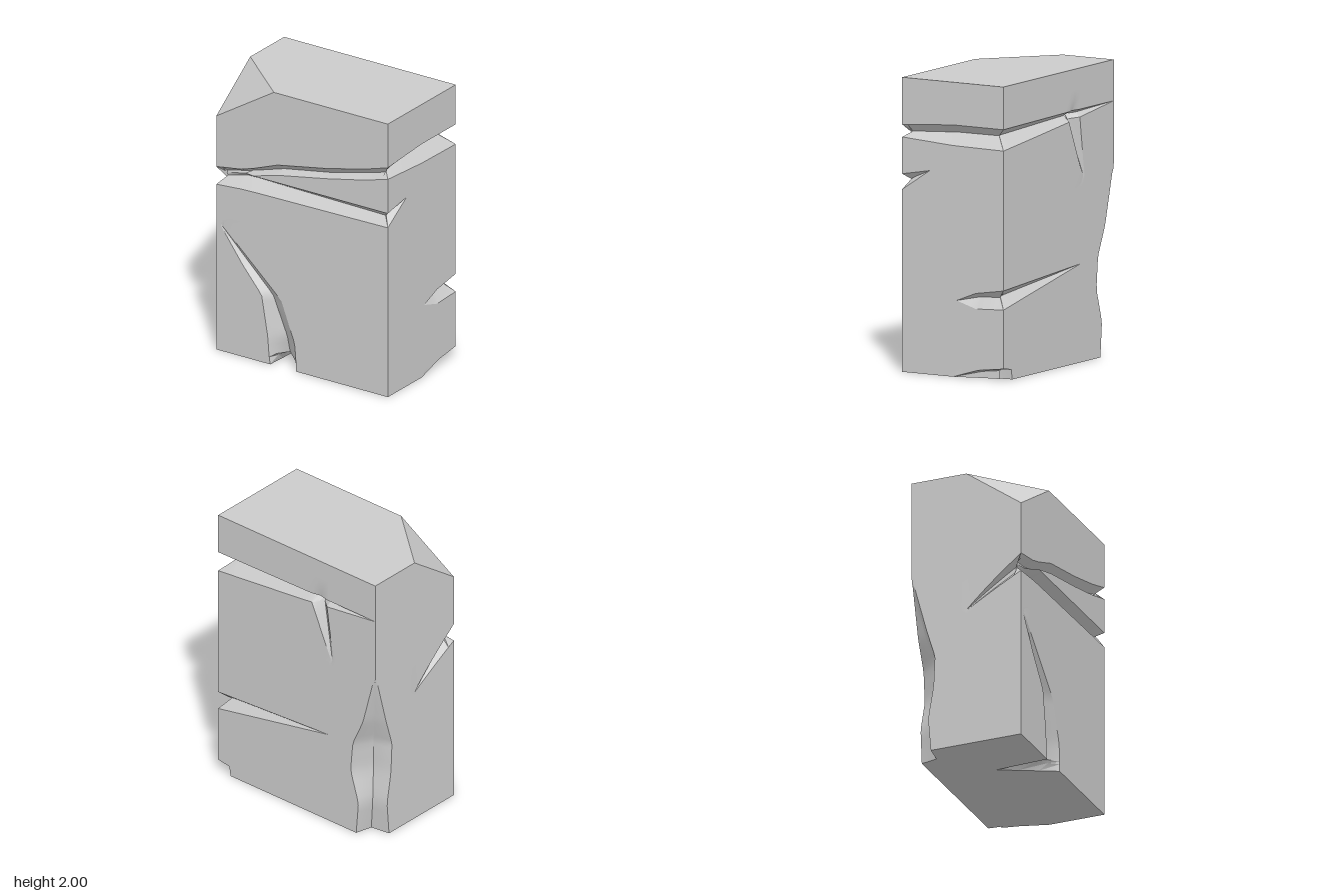
import * as THREE from 'three';
import { toCreasedNormals } from 'three/addons/utils/BufferGeometryUtils.js';

// Half width and half depth. s runs round the outline from the front's -x corner:
// front 0-1.4, +x side 1.4-2.2, back 2.2-3.6, -x side 3.6-4.4.
const W = 0.7, D = 0.4, LOOP = 4.4;

// Horizontal cracks: s, top y, valley y, bottom y, valley depth, depth of the ridge they share
const mainCrack = [
  [0, 1.34, 1.30, 1.28, 0.05, 0.05], [0.2, 1.37, 1.335, 1.32, 0.07, 0.06], [0.3, 1.40, 1.36, 1.345, 0.08, 0],
  [0.5, 1.475, 1.42, 1.40, 0.08, 0], [0.9, 1.55, 1.495, 1.475, 0.07, 0], [1.2, 1.62, 1.575, 1.54, 0.06, 0],
  [1.4, 1.68, 1.63, 1.595, 0.05, 0], [1.8, 1.71, 1.65, 1.57, 0.08, 0], [2.2, 1.71, 1.65, 1.565, 0.09, 0],
  [3.03, 1.72, 1.69, 1.65, 0.05, 0], [3.6, 1.72, 1.72, 1.72, 0, 0], [4.03, 0.99, 0.99, 0.99, 0, 0],
  [4.4, 1.34, 1.30, 1.28, 0.05, 0.05],
];
const frontCrack = [
  [0, 1.28, 1.26, 1.21, 0.05, 0.05], [0.2, 1.32, 1.30, 1.225, 0.08, 0.06], [0.3, 1.345, 1.30, 1.228, 0.08, 0],
  [1.4, 1.345, 1.295, 1.24, 0.06, 0], [1.62, 1.385, 1.385, 1.385, 0, 0], [3.6, 1.385, 1.385, 1.385, 0, 0],
  [4.03, 0.985, 0.985, 0.985, 0, 0], [4.4, 1.28, 1.26, 1.21, 0.05, 0.05],
];
const lowCrack = [
  [0, 0.52, 0.52, 0.52, 0], [1.83, 0.52, 0.52, 0.52, 0], [1.98, 0.58, 0.55, 0.475, 0.05],
  [2.2, 0.615, 0.56, 0.485, 0.07], [3.18, 0.67, 0.67, 0.67, 0], [3.6, 0.67, 0.67, 0.67, 0], [4.4, 0.52, 0.52, 0.52, 0],
];
// Chip under the +x back corner: s, height, depth
const chip = [
  [0, 0.07, 0], [1.4, 0.07, 0], [1.8, 0, 0], [2, 0.06, 0.06], [2.2, 0.085, 0.1],
  [2.3, 0.07, 0.1], [2.31, 0, 0], [3.6, 0, 0], [4.4, 0.07, 0],
];

// Upright grooves: y, s of left edge, valley, right edge, then valley shift in x and z
const grooves = [
  [ // front groove, cutting far into the underside
    [0, 0.44, 0.46, 0.65, 0, -0.38], [0.07, 0.43, 0.52, 0.65, 0, -0.12], [0.2, 0.42, 0.525, 0.64, 0, -0.08],
    [0.49, 0.37, 0.43, 0.53, 0, -0.05], [0.68, 0.21, 0.25, 0.32, 0, -0.035], [0.94, 0.02, 0.025, 0.03, 0, 0],
    [1.2, 0.44, 0.52, 0.65, 0, 0],
  ],
  [ // short branch below the main crack on the back
    [1.1, 3.03, 3.1, 3.17, 0, 0], [1.25, 3.21, 3.22, 3.23, 0, 0], [1.66, 3.03, 3.1, 3.17, 0, 0.06],
    [1.74, 3.03, 3.1, 3.17, 0, 0],
  ],
  [ // hollowed back corner
    [0, 3.43, 3.6, 3.74, 0.14, 0.12], [0.24, 3.45, 3.6, 3.72, 0.11, 0.1], [0.47, 3.38, 3.6, 3.76, 0.13, 0.13],
    [0.69, 3.40, 3.6, 3.77, 0.12, 0.12], [0.89, 3.49, 3.6, 3.71, 0.07, 0.07], [1.27, 3.59, 3.6, 3.61, 0, 0],
    [1.4, 3.43, 3.6, 3.74, 0, 0],
  ],
];
const base = grooves.map(g => (g === grooves[1] ? g[0] : g[g.length - 1]).slice(1, 4));

// Linear lookup in a table sorted by its first entry
function at(table, v) {
  if (v <= table[0][0]) return table[0];
  for (let i = 1; i < table.length; i++) {
    const a = table[i - 1], b = table[i];
    if (v <= b[0]) return a.map((n, k) => n + (b[k] - n) * (v - a[0]) / (b[0] - a[0]));
  }
  return table[table.length - 1];
}

// Outline point at s, inset by d on every side
function outline(s, d) {
  const [, x, z] = at([[0, -W, D], [1.4, W, D], [2.2, W, -D], [3.6, -W, -D], [LOOP, -W, D]], s);
  const c = THREE.MathUtils.clamp;
  return [c(x, d - W, W - d), c(z, d - D, D - d)];
}

// Point on the stone: slide columns onto the groove edges, then push the valley in
function surfacePoint(s, y, d) {
  const warp = [[0, 0]], shifts = [];
  grooves.forEach((g, i) => {
    const [, l, v, r, dx, dz] = at(g, y);
    [l, v, r].forEach((n, k) => warp.push([base[i][k], n]));
    if (i === 0) warp.push([1.4, 1.4], [2.2, 2.2]);
    const t = at([[base[i][0], 0], [base[i][1], 1], [base[i][2], 0]], s)[1];
    shifts.push([dx * t, dz * t]);
  });
  warp.push([LOOP, LOOP]);
  const [x, z] = outline(at(warp, s)[1], d);
  return new THREE.Vector3(
    shifts.reduce((n, q) => n + q[0], x), y, shifts.reduce((n, q) => n + q[1], z));
}

// Rows of one column from top to bottom as [y, depth]
function profile(s) {
  const m = at(mainCrack, s), f = at(frontCrack, s), l = at(lowCrack, s), c = at(chip, s);
  const [x, z] = outline(s, 0);
  const top = 2 - 0.29 * Math.max(0, (-0.23 - x) / 0.47 - (D - z) / D);
  const keys = [ // y, depth, steps from the row above
    [top, 0, 0], [m[1], 0, 4], [m[2], m[4], 1], [m[3], m[5], 1],
    [f[1], f[5], 3], [f[2], f[4], 1], [f[3], 0, 1],
    [l[1], 0, 18], [l[2], l[4], 1], [l[3], 0, 1],
    [c[1], 0, 12], [c[1] * 0.75, c[2], 1], [0, c[2], 1],
  ];
  const rows = [[top, 0]];
  for (let i = 1; i < keys.length; i++) {
    const a = keys[i - 1], b = keys[i];
    for (let k = 1; k <= b[2]; k++) {
      const t = k / b[2];
      rows.push([a[0] + (b[0] - a[0]) * t, a[1] + (b[1] - a[1]) * t]);
    }
  }
  return rows;
}

export function createModel() {
  const pos = [];
  const tri = (a, b, c) => {
    const area = b.clone().sub(a).cross(c.clone().sub(a)).length();
    if (area > 1e-8) for (const p of [a, b, c]) pos.push(p.x, p.y, p.z);
  };

  // Columns at every knot, filled in to a fine spacing
  const knots = [0, 0.47, 1.4, 2.2, 3.6, 4, LOOP, ...base.flat(),
    ...[mainCrack, frontCrack, lowCrack, chip].flat().map(r => r[0])];
  const sorted = [...new Set(knots)].sort((a, b) => a - b);
  const columns = [0];
  for (let i = 1; i < sorted.length; i++) {
    const a = sorted[i - 1], b = sorted[i], n = Math.ceil((b - a) / 0.05);
    for (let k = 1; k <= n; k++) columns.push(a + (b - a) * k / n);
  }

  // Walls
  const grid = columns.map(s => profile(s).map(([y, d]) => surfacePoint(s, y, d)));
  for (let i = 0; i + 1 < grid.length; i++) {
    for (let j = 0; j + 1 < grid[i].length; j++) {
      const a = grid[i][j], b = grid[i + 1][j], c = grid[i][j + 1], d = grid[i + 1][j + 1];
      tri(a, c, b);
      tri(b, c, d);
    }
  }

  // Flat top and its cut corner
  const V = (x, y, z) => new THREE.Vector3(x, y, z);
  const top = [V(-0.23, 2, D), V(W, 2, D), V(W, 2, -D), V(-W, 2, -D), V(-W, 2, 0)];
  for (let i = 1; i < 4; i++) tri(top[0], top[i], top[i + 1]);
  tri(V(-W, 1.71, D), top[0], top[4]);

  // Underside
  const ring = grid.slice(0, -1).map(c => c[c.length - 1]);
  const flat = ring.map(p => new THREE.Vector2(p.x, p.z));
  for (const [i, j, k] of THREE.ShapeUtils.triangulateShape(flat, [])) {
    const turn = THREE.ShapeUtils.area([flat[i], flat[j], flat[k]]);
    if (turn > 0) tri(ring[i], ring[j], ring[k]);
    else tri(ring[i], ring[k], ring[j]);
  }

  const geometry = new THREE.BufferGeometry();
  geometry.setAttribute('position', new THREE.Float32BufferAttribute(pos, 3));
  const stone = new THREE.Mesh(toCreasedNormals(geometry, 0.4),
    new THREE.MeshStandardMaterial({ color: 0xcccccc }));
  stone.name = 'crackedStoneBlock';
  const group = new THREE.Group();
  group.name = 'stoneBlock';
  group.add(stone);
  return group;
}
